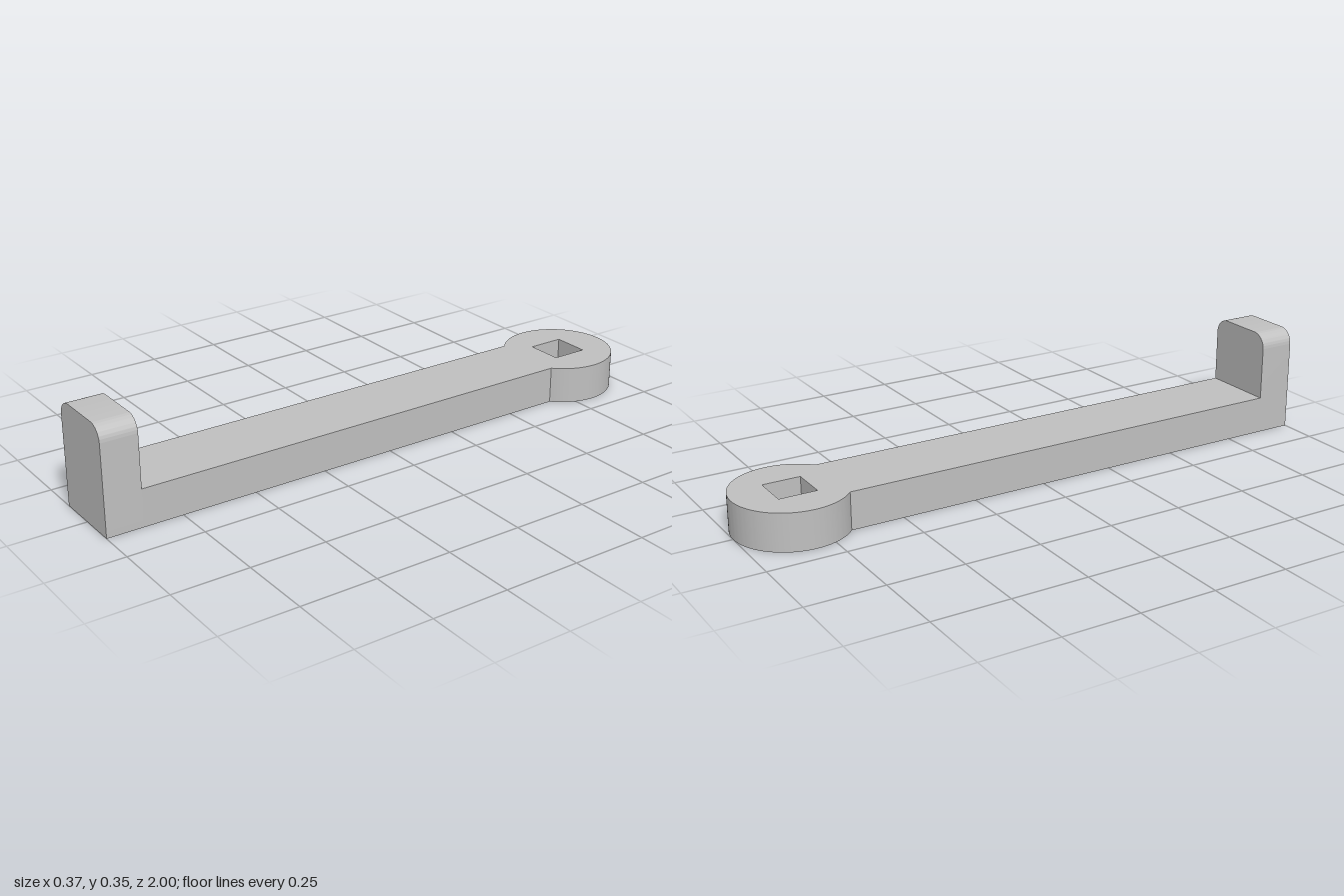
import * as THREE from 'three';
import { toCreasedNormals } from 'three/addons/utils/BufferGeometryUtils.js';

const HALF_WIDTH = 0.124;   // bar and upright tab
const THICKNESS = 0.124;
const RING_RADIUS = 0.186;
const RING_Z = -1 + RING_RADIUS;
const HOLE_HALF = 0.062;
const TAB_HEIGHT = 0.349;
const TAB_BACK = 0.88;

function extrude(shape, depth) {
  const geometry = new THREE.ExtrudeGeometry(shape, { depth, bevelEnabled: false, curveSegments: 64 });
  return toCreasedNormals(geometry, Math.PI / 7);
}

export function createModel() {
  const model = new THREE.Group();
  model.name = 'crankLever';
  const metal = new THREE.MeshStandardMaterial({ color: 0xc0c0c0 });
  metal.name = 'light grey metal';

  // Flat bar running into the round eye, drawn in plan with shape y = -z
  const angle = Math.acos(HALF_WIDTH / RING_RADIUS);
  const plan = new THREE.Shape();
  plan.moveTo(-HALF_WIDTH, -TAB_BACK);
  plan.lineTo(HALF_WIDTH, -TAB_BACK);
  plan.absarc(0, -RING_Z, RING_RADIUS, -angle, Math.PI + angle, false);
  plan.closePath();

  // Square socket through the eye
  const h = HOLE_HALF;
  const socket = new THREE.Path();
  socket.moveTo(-h, -RING_Z - h);
  socket.lineTo(-h, -RING_Z + h);
  socket.lineTo(h, -RING_Z + h);
  socket.lineTo(h, -RING_Z - h);
  socket.closePath();
  plan.holes.push(socket);

  const arm = new THREE.Mesh(extrude(plan, THICKNESS), metal);
  arm.name = 'armWithSocketEye';
  arm.rotation.x = -Math.PI / 2;
  model.add(arm);

  // Upright end tab with rounded top corners
  const r = 0.05;
  const outline = new THREE.Shape();
  outline.moveTo(-HALF_WIDTH, 0);
  outline.lineTo(HALF_WIDTH, 0);
  outline.absarc(HALF_WIDTH - r, TAB_HEIGHT - r, r, 0, Math.PI / 2, false);
  outline.absarc(-HALF_WIDTH + r, TAB_HEIGHT - r, r, Math.PI / 2, Math.PI, false);
  outline.closePath();

  const tab = new THREE.Mesh(extrude(outline, 1 - TAB_BACK), metal);
  tab.name = 'uprightTab';
  tab.position.z = TAB_BACK;
  model.add(tab);

  return model;
}
